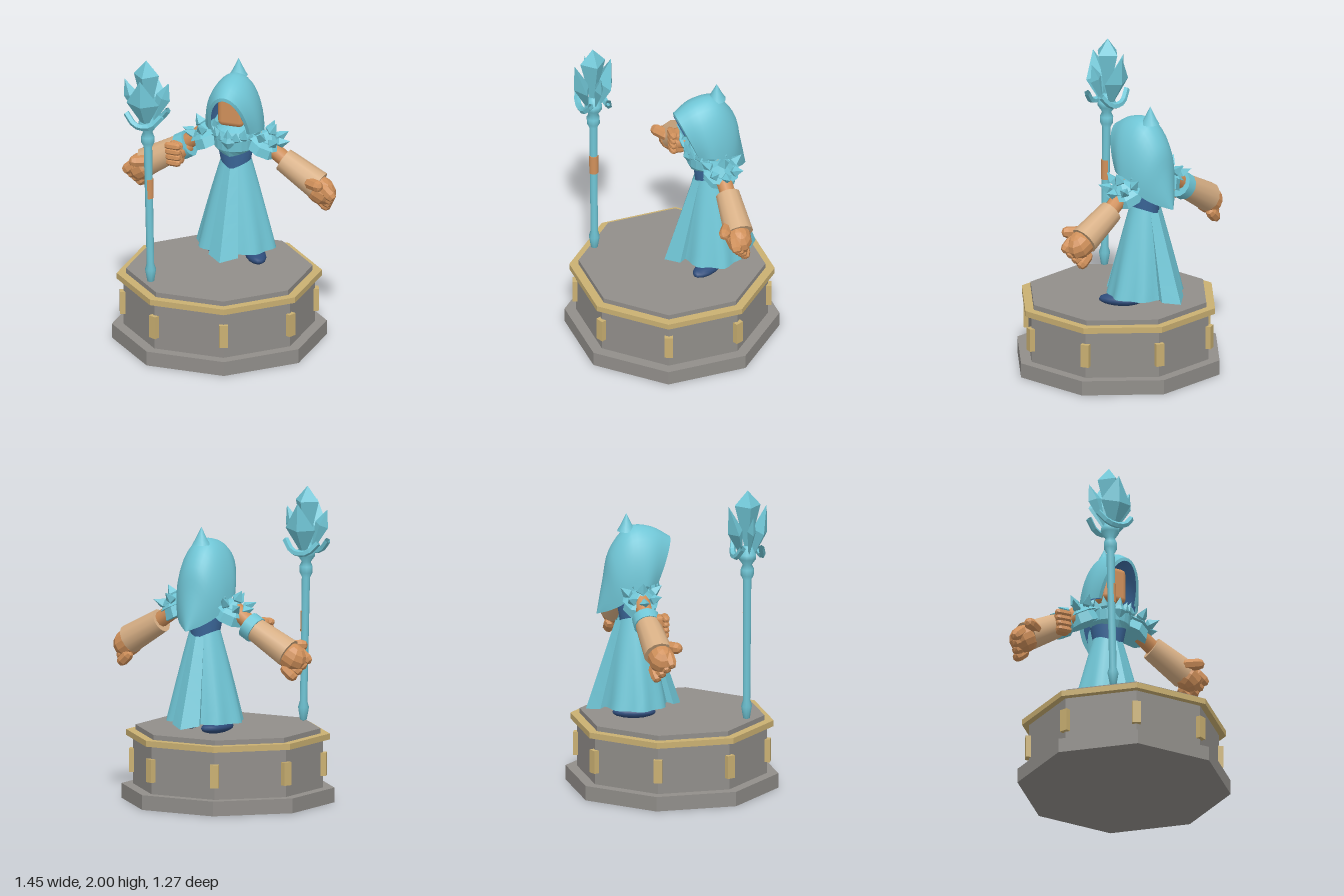
import * as THREE from 'three';
import { RoundedBoxGeometry } from 'three/addons/geometries/RoundedBoxGeometry.js';
import { ParametricGeometry } from 'three/addons/geometries/ParametricGeometry.js';

const V = (x, y, z) => new THREE.Vector3(x, y, z);
const UP = V(0, 1, 0);
const lerp = THREE.MathUtils.lerp;

function makeMaterials() {
  const make = (name, color, open) => {
    const m = new THREE.MeshStandardMaterial({ color });
    m.name = name;
    if (open) m.side = THREE.DoubleSide;
    return m;
  };
  return {
    stone: make('stone', 0x918e8a), gold: make('gold', 0xcab072),
    teal: make('teal cloth', 0x70c6d6, true), blue: make('blue lining', 0x3d6a9e, true),
    navy: make('navy shoe', 0x2f4d7c), skin: make('skin', 0xd0905a), tan: make('tan wrap', 0xd6ae84),
  };
}

function flat(g) {
  const f = g.index ? g.toNonIndexed() : g;
  f.computeVertexNormals();
  return f;
}

function add(parent, name, geometry, material, x = 0, y = 0, z = 0) {
  const mesh = new THREE.Mesh(geometry, material);
  mesh.name = name;
  mesh.position.set(x, y, z);
  parent.add(mesh);
  return mesh;
}

// turn a mesh built along y so that it points from a to b
function aim(mesh, a, b) {
  mesh.quaternion.setFromUnitVectors(UP, b.clone().sub(a).normalize());
  return mesh;
}

function limb(parent, name, mat, a, b, ra, rb, sides = 10) {
  const g = new THREE.CylinderGeometry(rb, ra, a.distanceTo(b), sides);
  const c = a.clone().lerp(b, 0.5);
  return aim(add(parent, name, g, mat, c.x, c.y, c.z), a, b);
}

function finger(parent, name, mat, a, b, r) {
  const c = a.clone().lerp(b, 0.5);
  const g = flat(new THREE.CapsuleGeometry(r, a.distanceTo(b), 2, 7));
  return aim(add(parent, name, g, mat, c.x, c.y, c.z), a, b);
}

// four-sided crystal from a to b, widest at the given fraction
function gem(parent, name, mat, a, b, w, d, at) {
  const h = a.distanceTo(b);
  const pts = [[0, 0], [1, h * at], [0, h]].map(p => new THREE.Vector2(...p));
  const g = flat(new THREE.LatheGeometry(pts, 4).scale(w, 1, d));
  return aim(add(parent, name, g, mat, a.x, a.y, a.z), a, b);
}

const lathe = (pts, sides, start, length) =>
  new THREE.LatheGeometry(pts.map(p => new THREE.Vector2(...p)), sides, start, length);

function surface(f, nu, nv) {
  const g = new ParametricGeometry((u, v, t) => t.copy(f(u, v)), nu, nv);
  g.computeVertexNormals();
  return g;
}

function buildPedestal(M) {
  const p = new THREE.Group();
  p.name = 'pedestal';
  const k = 1 / Math.cos(Math.PI / 8);
  const slab = (name, mat, apothem, y0, y1) => {
    const g = new THREE.CylinderGeometry(apothem * k, apothem * k, y1 - y0, 8).rotateY(Math.PI / 8);
    add(p, name, flat(g), mat, 0, (y0 + y1) / 2, 0);
  };
  slab('baseStep', M.stone, 0.633, 0, 0.095);
  slab('pedestalWall', M.stone, 0.565, 0.095, 0.41);
  slab('goldRim', M.gold, 0.605, 0.405, 0.443);
  slab('platform', M.stone, 0.55, 0.443, 0.475);
  for (let i = 0; i < 8; i++) {
    const a = Math.PI / 8 + i * Math.PI / 4, r = 0.565 * k;
    add(p, 'cornerBar', new THREE.BoxGeometry(0.055, 0.15, 0.045), M.gold,
      Math.sin(a) * r, 0.247, Math.cos(a) * r).rotation.y = a;
  }
  return p;
}

function buildStaff(M) {
  const s = new THREE.Group();
  s.name = 'staff';
  s.position.set(-0.315, 0.48, 0.41);
  s.rotation.z = 0.021;
  add(s, 'shaft', lathe([[0, 0], [0.022, 0.01], [0.036, 0.09], [0.024, 0.13], [0.027, 0.93], [0.043, 0.96],
    [0.043, 1.0], [0.03, 1.03], [0.058, 1.07], [0.058, 1.1], [0.03, 1.15], [0, 1.16]], 10), M.teal);
  // worn grip on one half of the shaft
  add(s, 'grip', new THREE.CylinderGeometry(0.03, 0.03, 0.13, 8, 1, false, 0, Math.PI * 0.9), M.skin, 0, 0.645, 0);
  gem(s, 'mainCrystal', M.teal, V(0, 1.08, 0), V(0, 1.52, 0), 0.085, 0.085, 0.78);
  for (const k of [-1, 1]) {
    gem(s, 'broadCrystal', M.teal, V(0, 1.06, 0.03 * k), V(0, 1.42, 0.125 * k), 0.11, 0.05, 0.53);
    gem(s, 'sideCrystal', M.teal, V(0.03 * k, 1.08, 0), V(0.15 * k, 1.38, 0), 0.05, 0.028, 0.66);
    const path = new THREE.CatmullRomCurve3([V(-0.12, 1.17, 0.06 * k), V(-0.05, 1.1, 0.085 * k),
      V(0.05, 1.1, 0.085 * k), V(0.12, 1.17, 0.06 * k)]);
    add(s, 'crystalHolder', flat(new THREE.TubeGeometry(path, 8, 0.021, 5)), M.teal);
  }
  return s;
}

function buildHood(M) {
  const h = new THREE.Group();
  h.name = 'hood';
  // crown line and lower edge, from the front rim to the tail
  const crown = new THREE.CatmullRomCurve3([V(0, 1.63, -0.01), V(0, 1.7, -0.13), V(0, 1.71, -0.28),
    V(0, 1.56, -0.405), V(0, 1.38, -0.445), V(0, 1.15, -0.49)]);
  const hem = new THREE.CatmullRomCurve3([V(0.14, 1.36, -0.12), V(0.185, 1.36, -0.19), V(0.18, 1.34, -0.27),
    V(0.155, 1.25, -0.34), V(0.09, 1.19, -0.42), V(0.005, 1.15, -0.49)]);
  const arch = (u, v, inset) => {
    const a = (u * 2 - 1) * Math.PI / 2, s = 1 - Math.cos(a), t = crown.getPoint(v), b = hem.getPoint(v);
    return V((b.x - Math.min(inset, b.x)) * Math.sin(a), lerp(t.y - inset, b.y, s), lerp(t.z, b.z, s) + inset * v);
  };
  add(h, 'hoodShell', surface((u, v) => arch(u, v, 0), 20, 20), M.teal);
  add(h, 'hoodLining', surface((u, v) => arch(u, v * 0.85, 0.022), 16, 12), M.blue);
  add(h, 'hoodRim', surface((u, v) => arch(u, 0, v * 0.022), 20, 1), M.teal);
  const peak = lathe([[0.06, 0], [0.042, 0.03], [0.022, 0.07], [0, 0.115]], 10);
  add(h, 'hoodPeak', peak, M.teal, 0, 1.685, -0.295);
  return h;
}

function buildGown(M) {
  const g = new THREE.Group();
  g.name = 'gown';
  // pleated skirt, open at the hem
  add(g, 'skirt', surface((u, v) => {
    const a = u * Math.PI * 2, fold = 1 + 0.05 * v * Math.cos(a * 8);
    const bulge = v + 0.12 * v * (1 - v), side = Math.abs(Math.sin(a));
    return V(Math.sin(a) * lerp(0.098, 0.255, bulge) * fold,
      lerp(1.09 + 0.045 * side, 0.55, v), -0.25 + Math.cos(a) * lerp(0.1, 0.215, bulge) * fold);
  }, 48, 8), M.teal);
  // ridged front and back panels
  const section = [[-0.85, 0.11], [-1, 0.07], [0, 0], [1, 0.07], [0.85, 0.11]];
  for (const s of [1, -1]) {
    add(g, s > 0 ? 'frontPanel' : 'backPanel', flat(surface((u, v) => {
      const [x, back] = section[Math.round(u * 4)];
      const depth = lerp(0.115, 0.31, v) - back * (0.35 + 0.65 * v);
      return V(x * lerp(0.045, 0.1, v), lerp(1.1, 0.525 + 0.3 * back, v), -0.25 + s * depth);
    }, 4, 5)), M.teal);
  }
  // bodice
  const torso = lathe([[0.09, 1.06], [0.095, 1.12], [0.115, 1.22], [0.12, 1.3], [0.06, 1.38]], 16);
  add(g, 'bodice', torso, M.blue, 0, 0, -0.245);
  const plate = lathe([[0.112, 1.19], [0.135, 1.23], [0.14, 1.3], [0.115, 1.35], [0.06, 1.385]], 12, -1.9, 3.8);
  const pos = plate.attributes.position;
  for (let i = 0; i < pos.count; i++) // lower edge dips at the sides
    if (pos.getY(i) < 1.2) pos.setY(i, 1.185 + 0.03 * Math.abs(pos.getX(i)) / 0.11);
  add(g, 'chestPlate', flat(plate), M.teal, 0, 0, -0.235);
  for (let i = -3; i <= 3; i++) {
    const a = i * 0.38, x = Math.sin(a), z = Math.cos(a);
    gem(g, 'collarSpike', M.teal, V(x * 0.1, 1.27, -0.235 + z * 0.12),
      V(x * 0.15, i % 2 ? 1.365 : 1.385, -0.235 + z * 0.15), 0.035, 0.025, 0.45);
  }
  gem(g, 'chestGem', M.teal, V(0, 1.235, -0.105), V(0, 1.34, -0.085), 0.05, 0.025, 0.6);
  return g;
}

function buildPauldron(M) {
  const p = new THREE.Group();
  p.name = 'pauldron';
  p.position.set(0.2, 1.275, -0.25);
  p.rotation.z = -0.45;
  add(p, 'lowerPlate', flat(new THREE.CylinderGeometry(0.085, 0.11, 0.1, 8)), M.teal, 0, -0.02, 0);
  add(p, 'upperPlate', flat(new THREE.ConeGeometry(0.12, 0.09, 8)), M.teal, 0, 0.045, 0);
  gem(p, 'centreSpike', M.teal, V(0, 0.03, 0), V(0.01, 0.145, 0), 0.04, 0.04, 0.45);
  for (let i = 0; i < 7; i++) {
    const a = Math.PI / 2 + i * Math.PI * 2 / 7, x = Math.sin(a), z = Math.cos(a);
    gem(p, 'spike', M.teal, V(x * 0.04, 0, z * 0.04), V(x * 0.14, 0.09, z * 0.14), 0.035, 0.035, 0.5);
  }
  return p;
}

function buildArm(M) {
  const a = new THREE.Group();
  a.name = 'arm';
  limb(a, 'upperArm', M.skin, V(0.17, 1.3, -0.25), V(0.39, 1.14, -0.25), 0.055, 0.05);
  limb(a, 'bracer', M.tan, V(0.345, 1.165, -0.25), V(0.585, 1.025, -0.235), 0.078, 0.095, 12);
  // open hand
  const palm = add(a, 'palm', flat(new THREE.SphereGeometry(1, 9, 7)), M.skin, 0.605, 1.0, -0.225);
  palm.scale.set(0.105, 0.09, 0.085);
  palm.rotation.z = -0.55;
  for (let i = 0; i < 4; i++) {
    const t = (i - 1.5) / 1.5, bx = 0.615 + 0.03 * t, by = 0.975 + 0.05 * t, z = -0.225 + 0.04 * t;
    finger(a, 'finger', M.skin, V(bx, by, z), V(bx + 0.042, by - 0.038, z + 0.005), 0.037);
  }
  finger(a, 'thumb', M.skin, V(0.55, 1.06, -0.17), V(0.62, 1.065, -0.125), 0.038);
  return a;
}

export function createModel() {
  const M = makeMaterials();
  const root = new THREE.Group();
  root.name = 'hoodedFigureOnPedestal';
  root.add(buildPedestal(M), buildStaff(M));

  const body = new THREE.Group();
  body.name = 'body';
  body.position.x = 0.023;
  root.add(body);
  body.add(buildHood(M), buildGown(M));
  add(body, 'head', new RoundedBoxGeometry(0.175, 0.24, 0.18, 2, 0.035), M.skin, -0.005, 1.5, -0.23);
  add(body, 'neck', new THREE.CylinderGeometry(0.05, 0.06, 0.12, 10), M.skin, 0, 1.38, -0.24);

  for (const s of [1, -1]) {
    const pauldron = buildPauldron(M), shoulder = new THREE.Group();
    shoulder.name = s > 0 ? 'leftShoulder' : 'rightShoulder';
    shoulder.add(pauldron);
    shoulder.scale.x = s;
    body.add(shoulder);
    const arm = buildArm(M);
    arm.name = s > 0 ? 'leftArm' : 'rightArm';
    arm.scale.x = s;
    root.add(arm);
    // shoes: the left one steps out from the hem
    const shoe = add(root, s > 0 ? 'leftShoe' : 'rightShoe', new THREE.SphereGeometry(1, 14, 10), M.navy,
      s > 0 ? 0.18 : -0.08, 0.514, s > 0 ? -0.18 : -0.27);
    shoe.scale.set(0.065, 0.039, 0.14);
    shoe.rotation.y = s > 0 ? 0.55 : -0.2;
  }

  // closed hand in front of the right elbow, with a cuff
  const fist = new THREE.Group();
  fist.name = 'rightFist';
  root.add(fist);
  limb(fist, 'cuff', M.teal, V(-0.295, 1.19, -0.25), V(-0.355, 1.155, -0.25), 0.088, 0.088, 12);
  limb(fist, 'wrist', M.skin, V(-0.3, 1.17, -0.25), V(-0.345, 1.145, -0.17), 0.045, 0.05, 8);
  add(fist, 'fistPalm', new RoundedBoxGeometry(0.1, 0.15, 0.07, 1, 0.025), M.skin, -0.355, 1.145, -0.18);
  for (let i = 0; i < 4; i++)
    finger(fist, 'curledFinger', M.skin, V(-0.4 + i * 0.004, 1.2 - i * 0.037, -0.14),
      V(-0.335, 1.2 - i * 0.037, -0.135), 0.025);
  return root;
}
